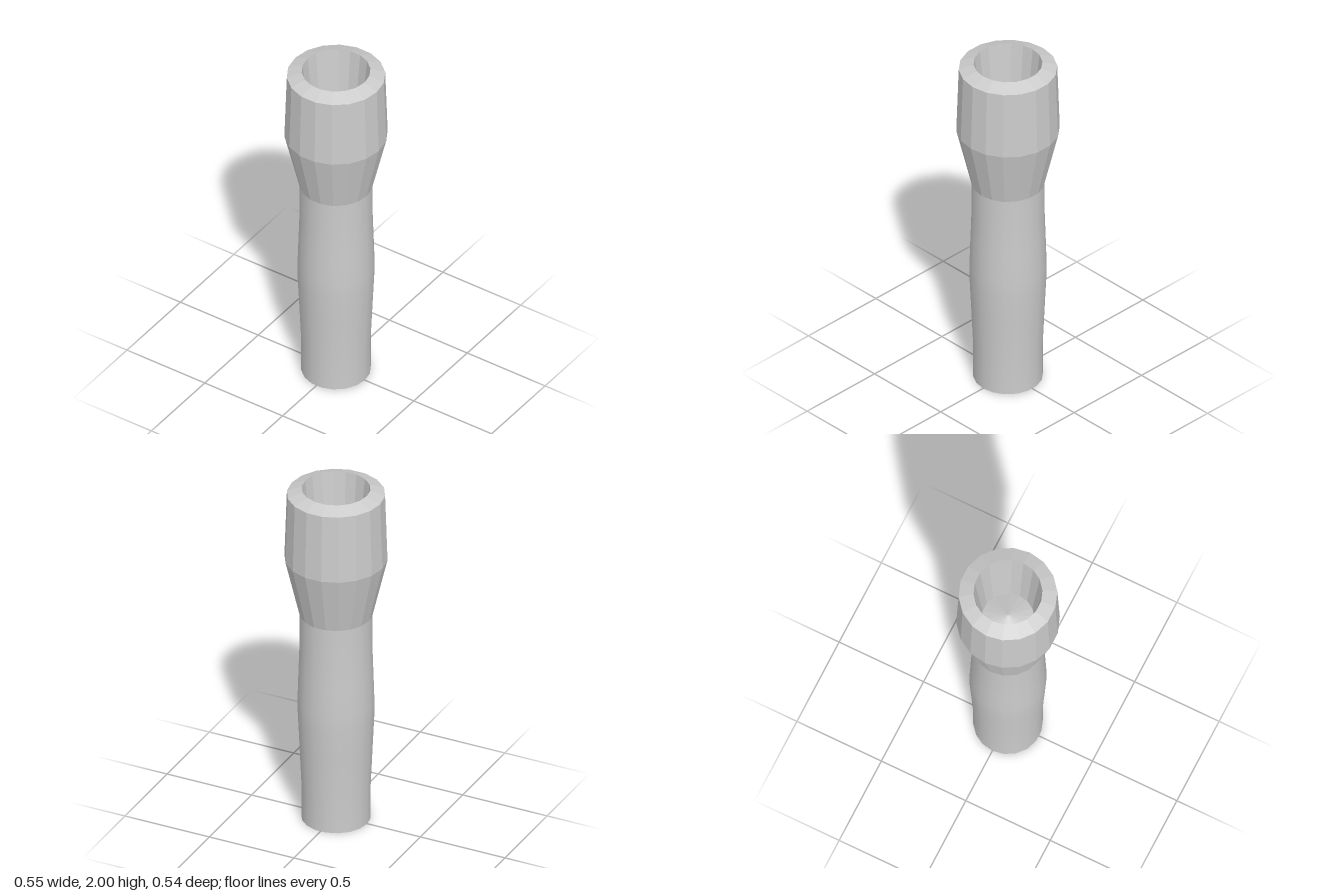
import * as THREE from 'three';

const SIDES = 18;

// Turned part from [radius, height] pairs, with polygon corners on the x axis
function turned(name, profile, material) {
  const points = profile.map(([r, y]) => new THREE.Vector2(r, y));
  const geometry = new THREE.LatheGeometry(points, SIDES).rotateY(Math.PI / 2);
  const mesh = new THREE.Mesh(geometry, material);
  mesh.name = name;
  return mesh;
}

export function createModel() {
  const model = new THREE.Group();
  model.name = 'handheldTorch';
  const smooth = new THREE.MeshStandardMaterial({ color: 0xcccccc });
  const faceted = new THREE.MeshStandardMaterial({ color: 0xcccccc, flatShading: true });

  // Gently swelling grip
  model.add(turned('handle', [
    [0.185, 0], [0.185, 0.2], [0.196, 0.45], [0.204, 0.62],
    [0.205, 0.72], [0.2, 0.88], [0.195, 1.03], [0.195, 1.24],
  ], smooth));

  // Flat closing disc under the grip
  const base = new THREE.Mesh(new THREE.CircleGeometry(0.185, SIDES).rotateX(Math.PI / 2), faceted);
  base.name = 'handleBase';
  model.add(base);

  // Flared head: outer wall, bevelled rim, then the tapering bore
  model.add(turned('head', [
    [0.195, 1.24], [0.275, 1.58], [0.262, 1.97], [0.183, 2], [0.14, 1.6],
  ], faceted));

  // Shallow cone closing the bore
  model.add(turned('boreFloor', [[0.14, 1.6], [0, 1.65]], faceted));

  return model;
}
